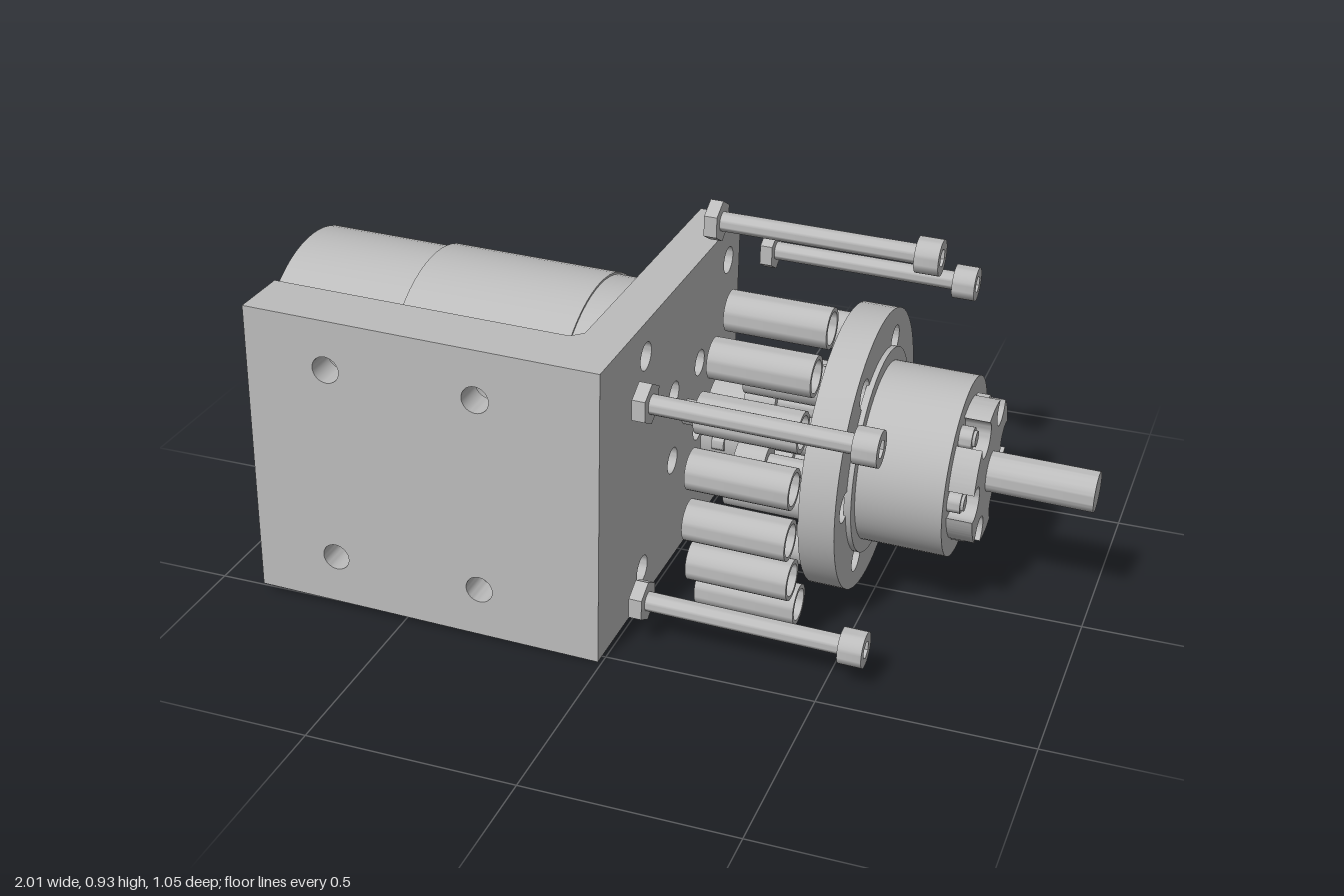
import * as THREE from 'three';
import { toCreasedNormals } from 'three/addons/utils/BufferGeometryUtils.js';

const TILT = 0.0255; // the whole assembly leans slightly nose-down
const metal = new THREE.MeshStandardMaterial({ color: 0xbcbcbc });
metal.name = 'grey metal';

// circle outline; sides = 6 gives a hexagon with a corner up
function circle(r, x = 0, y = 0, sides = 0) {
  const s = new THREE.Shape();
  if (sides) {
    s.setFromPoints(Array.from({ length: sides }, (_, i) => {
      const a = Math.PI / 2 + (i / sides) * Math.PI * 2;
      return new THREE.Vector2(x + r * Math.cos(a), y + r * Math.sin(a));
    }));
  } else s.absarc(x, y, r, 0, Math.PI * 2, false);
  return s;
}

function rect(x0, x1, y0, y1) {
  return new THREE.Shape([[x0, y0], [x1, y0], [x1, y1], [x0, y1]].map(p => new THREE.Vector2(...p)));
}

// extrude along the z axis
function slab(shape, z0, z1, holes = [], seg = 32) {
  shape.holes.push(...holes);
  const g = new THREE.ExtrudeGeometry(shape, { depth: z1 - z0, bevelEnabled: false, curveSegments: seg });
  g.translate(0, 0, z0);
  return toCreasedNormals(g, 0.6);
}

// extrude along the main x axis; shape coordinates are (-z, y)
const axial = (shape, x0, x1, holes, seg) => slab(shape, x0, x1, holes, seg).rotateY(Math.PI / 2);

function add(parent, name, geometry, y = 0, z = 0) {
  const m = new THREE.Mesh(geometry, metal);
  m.name = name;
  m.position.set(0, y, z);
  parent.add(m);
  return m;
}

// angle measured from +z towards +y
const polar = (r, deg) => {
  const a = deg * Math.PI / 180;
  return [r * Math.sin(a), r * Math.cos(a)];
};
const six = [0, 1, 2, 3, 4, 5].map(i => i * 60 - 4);

function addBracket(g) {
  const b = new THREE.Group();
  b.name = 'bracket';
  // motor plate with corner holes and inner mounting holes
  const holes = [];
  for (const sx of [-1, 1]) for (const sy of [-1, 1]) {
    holes.push(circle(0.034, sx * 0.284, sy * 0.283), circle(0.033, sx * 0.09, sy * 0.09));
  }
  add(b, 'motorPlate', axial(rect(-0.416, 0.369, -0.37, 0.37), -0.105, 0, holes, 16));
  // side plate, counterbored from the inside
  const sideHoles = r => [-0.663, -0.295].flatMap(x => [-0.247, 0.247].map(y => circle(r, x, y)));
  add(b, 'sidePlateOuter', slab(rect(-0.865, 0, -0.37, 0.37), 0.486, 0.561, sideHoles(0.033), 16));
  add(b, 'sidePlateInner', slab(rect(-0.865, 0, -0.37, 0.37), 0.416, 0.486, sideHoles(0.06), 16));
  // small fillet in the inside corner
  const tri = new THREE.Shape([[-0.1, -0.42], [-0.1, -0.385], [-0.135, -0.42]].map(p => new THREE.Vector2(...p)));
  const fillet = slab(tri, -0.37, 0.37);
  fillet.rotateX(-Math.PI / 2);
  // the rotation maps shape y to -z, so the strip lands against the side plate
  add(b, 'cornerFillet', fillet);
  g.add(b);
}

function addMotor(g) {
  const m = new THREE.Group();
  m.name = 'motor';
  for (const [name, r, x0, x1] of [
    ['motorRear', 0.295, -1, -0.66],
    ['motorBody', 0.304, -0.66, -0.225],
    ['motorFront', 0.299, -0.225, -0.1],
    ['motorShaft', 0.031, -0.1, 0.1],
    ['inputHub', 0.12, 0.08, 0.19],
    ['sunShaft', 0.05, 0.19, 0.4],
  ]) add(m, name, axial(circle(r), x0, x1));
  add(m, 'setScrew', axial(circle(0.02), 0.11, 0.14), 0, 0.11);
  g.add(m);
}

function addCarrier(g) {
  const c = new THREE.Group();
  c.name = 'outputCarrier';
  const holes = six.map(d => {
    const [y, z] = polar(0.26, d);
    return circle(0.036, -z, y);
  });
  add(c, 'flange', axial(circle(0.338), 0.39, 0.475, holes));
  add(c, 'collar', axial(circle(0.247), 0.47, 0.487));
  add(c, 'hub', axial(circle(0.215), 0.48, 0.69));
  // end cap with six scallops bitten out of its rim
  const R = 0.172, d = 0.148, r = 0.042;
  const a = Math.acos((R * R + d * d - r * r) / (2 * R * d));
  const b = Math.atan2(R * Math.sin(a), R * Math.cos(a) - d);
  const cap = new THREE.Shape();
  for (let i = 0; i < 6; i++) {
    const t = (i * 60 + 4) * Math.PI / 180;
    cap.absarc(d * Math.cos(t), d * Math.sin(t), r, t - b, t + b, true);
    cap.absarc(0, 0, R, t + a, t + Math.PI / 3 - a, false);
  }
  add(c, 'scallopedCap', axial(cap, 0.685, 0.75, [], 12));
  add(c, 'outputShaft', axial(circle(0.048), 0.7, 1));
  for (const deg of six) {
    const [y, z] = polar(0.148, deg);
    add(c, 'capScrew', axial(circle(0.026), 0.685, 0.72, [], 12), y, z);
    add(c, 'capScrewTip', axial(circle(0.019), 0.71, 0.727, [], 12), y, z);
    add(c, 'innerPin', axial(circle(0.025), 0.2, 0.4, [], 12), y, z);
    add(c, 'innerPinHead', axial(circle(0.045), 0.185, 0.26, [], 12), y, z);
    const [ry, rz] = polar(0.26, deg);
    add(c, 'carrierRoller', axial(circle(0.047), 0.2, 0.395, [circle(0.036)], 12), ry, rz);
  }
  g.add(c);
}

// loose ring rollers set along an arc
function addRollers(g) {
  for (let i = 0; i < 7; i++) {
    const [y, z] = polar(0.408, 66.4 - i * 18);
    add(g, 'ringRoller', axial(circle(0.048), 0.155, 0.395, [circle(0.038)], 16), y, z);
  }
}

// long socket-head bolts with hex nuts
function addBolts(g) {
  for (const deg of [90, 30, 150, -30, -150]) {
    const [y, z] = polar(0.513, deg);
    const b = new THREE.Group();
    b.name = 'bolt';
    b.position.set(0, y, z);
    add(b, 'boltShank', axial(circle(0.023), 0.04, 0.56, [], 12));
    add(b, 'boltHead', axial(circle(0.042), 0.538, 0.594, [circle(0.022, 0, 0, 6)], 16));
    add(b, 'hexNut', axial(circle(0.05, 0, 0, 6), 0.045, 0.076));
    g.add(b);
  }
}

export function createModel() {
  const model = new THREE.Group();
  model.name = 'gearmotorAssembly';
  const g = new THREE.Group();
  g.name = 'tiltedAssembly';
  g.position.set(0, 0.372, -0.036);
  g.rotation.z = -TILT;
  addBracket(g);
  addMotor(g);
  addCarrier(g);
  addRollers(g);
  addBolts(g);
  model.add(g);
  return model;
}
